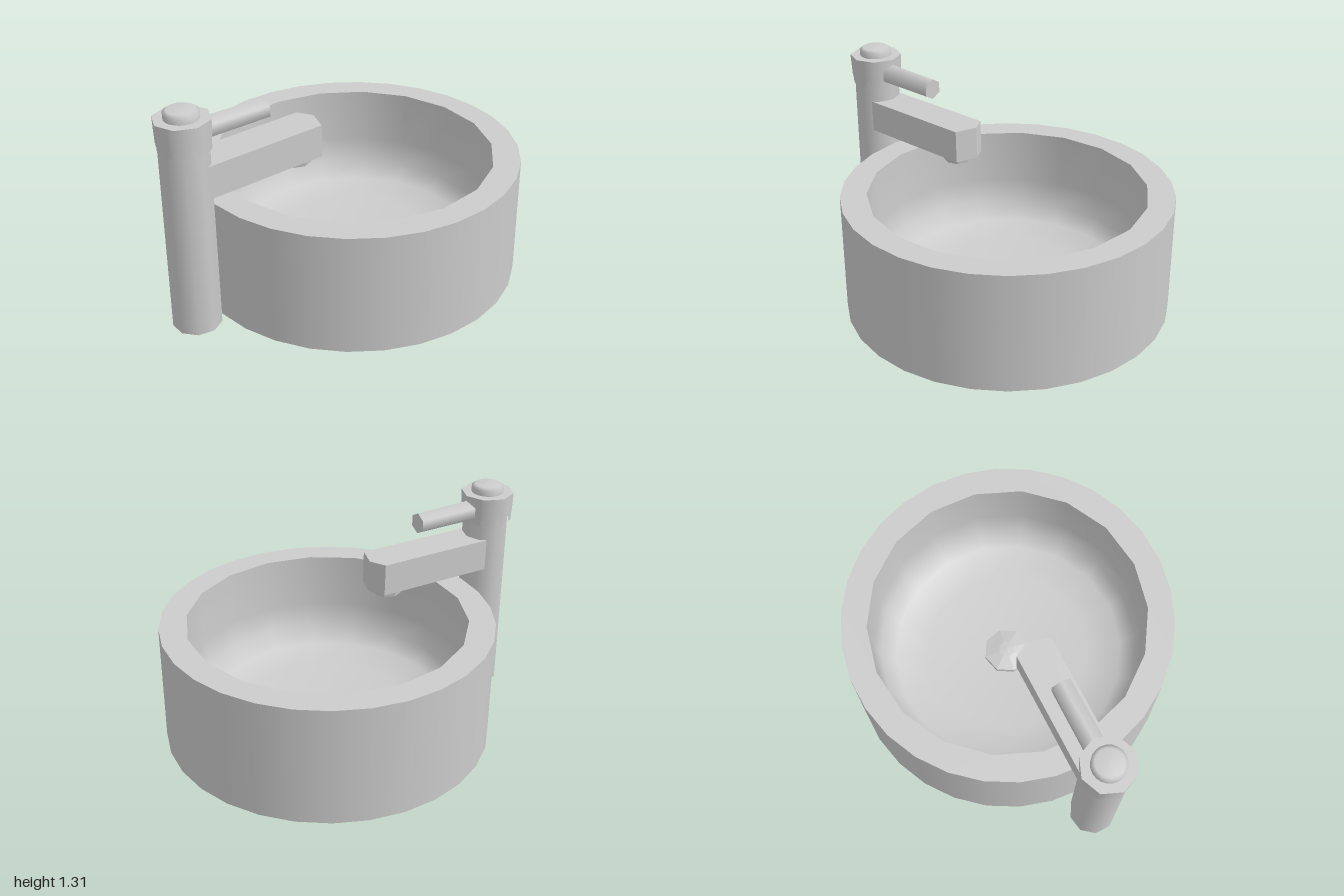
import * as THREE from 'three';

const grey = new THREE.MeshStandardMaterial({ color: 0xcccccc, side: THREE.DoubleSide });
const flat = new THREE.MeshStandardMaterial({ color: 0xcccccc, flatShading: true });

function add(parent, name, geometry, x = 0, y = 0, z = 0, material = grey) {
  const mesh = new THREE.Mesh(geometry, material);
  mesh.name = name;
  mesh.position.set(x, y, z);
  parent.add(mesh);
  return mesh;
}

const lathe = (points, sides) =>
  new THREE.LatheGeometry(points.map(([r, y]) => new THREE.Vector2(r, y)), sides);

// Round bowl with a flat rim and a gently dished floor
function createBasin() {
  const basin = new THREE.Group();
  basin.name = 'basin';
  const R = 0.96, r = 0.81, h = 0.71, turn = Math.PI / 18;

  add(basin, 'outerWall', new THREE.CylinderGeometry(R, R, h, 30, 1, true), 0, h / 2, 0);
  const base = add(basin, 'base', new THREE.CircleGeometry(R, 30));
  base.rotation.set(Math.PI / 2, 0, Math.PI / 2);

  // Rim joins the 30-sided outside to the 18-sided inside
  const ring = (radius, n, a0) => Array.from({ length: n }, (_, i) => {
    const a = a0 + (i / n) * Math.PI * 2;
    return new THREE.Vector2(Math.sin(a) * radius, -Math.cos(a) * radius);
  });
  const rimShape = new THREE.Shape(ring(R, 30, 0));
  rimShape.holes.push(new THREE.Path(ring(r, 18, turn)));
  add(basin, 'rim', new THREE.ShapeGeometry(rimShape).rotateX(-Math.PI / 2), 0, h, 0);

  const bowl = lathe([[0, 0.08], [0.14, 0.08], [0.5, 0.1], [0.7, 0.14], [0.785, 0.23], [r, 0.38], [r, h]], 18);
  add(basin, 'bowl', bowl).rotation.y = turn;

  // Faceted drain plug
  add(basin, 'drain', lathe([[0.14, 0.07], [0.14, 0.11], [0.05, 0.135], [0, 0.14]], 8), 0, 0, -0.01, flat);
  return basin;
}

// Eight-sided collar with a notched lower edge
function createCollar() {
  const geometry = new THREE.CylinderGeometry(0.155, 0.148, 0.17, 80, 1, true);
  const p = geometry.attributes.position;
  for (let i = 0; i < p.count; i++) {
    const a = Math.atan2(p.getX(i), p.getZ(i)) + Math.PI * 2;
    const side = Math.PI / 4;
    const k = Math.cos(side / 2) / Math.cos((a % side) - side / 2);
    const notch = p.getY(i) < 0 ? 0.04 * Math.max(0, Math.sin(a * 10)) ** 0.5 : 0;
    p.setXYZ(i, p.getX(i) * k, p.getY(i) + notch, p.getZ(i) * k);
  }
  return geometry;
}

// Tap, built with its spout along local +z
function createTap() {
  const tap = new THREE.Group();
  tap.name = 'tap';

  add(tap, 'column', new THREE.CylinderGeometry(0.135, 0.137, 1.19, 9), 0, 0.605, 0);
  add(tap, 'collar', createCollar(), 0, 1.175, 0);
  const top = add(tap, 'collarTop', new THREE.CircleGeometry(0.155, 8), 0, 1.26, 0);
  top.rotation.x = -Math.PI / 2;
  add(tap, 'button', lathe([[0.095, 1.25], [0.095, 1.295], [0.075, 1.308], [0, 1.31]], 20));

  // Spout with a shallow pointed tip
  const plan = new THREE.Shape([
    [-0.108, 0], [0.108, 0], [0.108, 0.79], [0.02, 0.84], [-0.108, 0.8],
  ].map(([x, z]) => new THREE.Vector2(x, -z)));
  const spout = new THREE.ExtrudeGeometry(plan, { depth: 0.19, bevelEnabled: false });
  spout.rotateX(-Math.PI / 2);
  add(tap, 'spout', spout, 0, 0.805, 0).rotation.x = -0.018;
  add(tap, 'aerator', new THREE.CylinderGeometry(0.092, 0.08, 0.06, 8), 0, 0.806, 0.7, flat);

  // Six-sided lever
  const lever = new THREE.CylinderGeometry(0.062, 0.066, 0.42, 6).rotateX(Math.PI / 2);
  add(tap, 'lever', lever, 0, 1.163, 0.29);
  return tap;
}

export function createModel() {
  const model = new THREE.Group();
  model.name = 'washbasin';
  const basin = createBasin();
  basin.position.z = -0.04;
  const tap = createTap();
  tap.position.set(-0.665, 0, 0.845);
  tap.rotation.y = Math.atan2(0.6, -0.8);
  model.add(basin, tap);
  return model;
}
